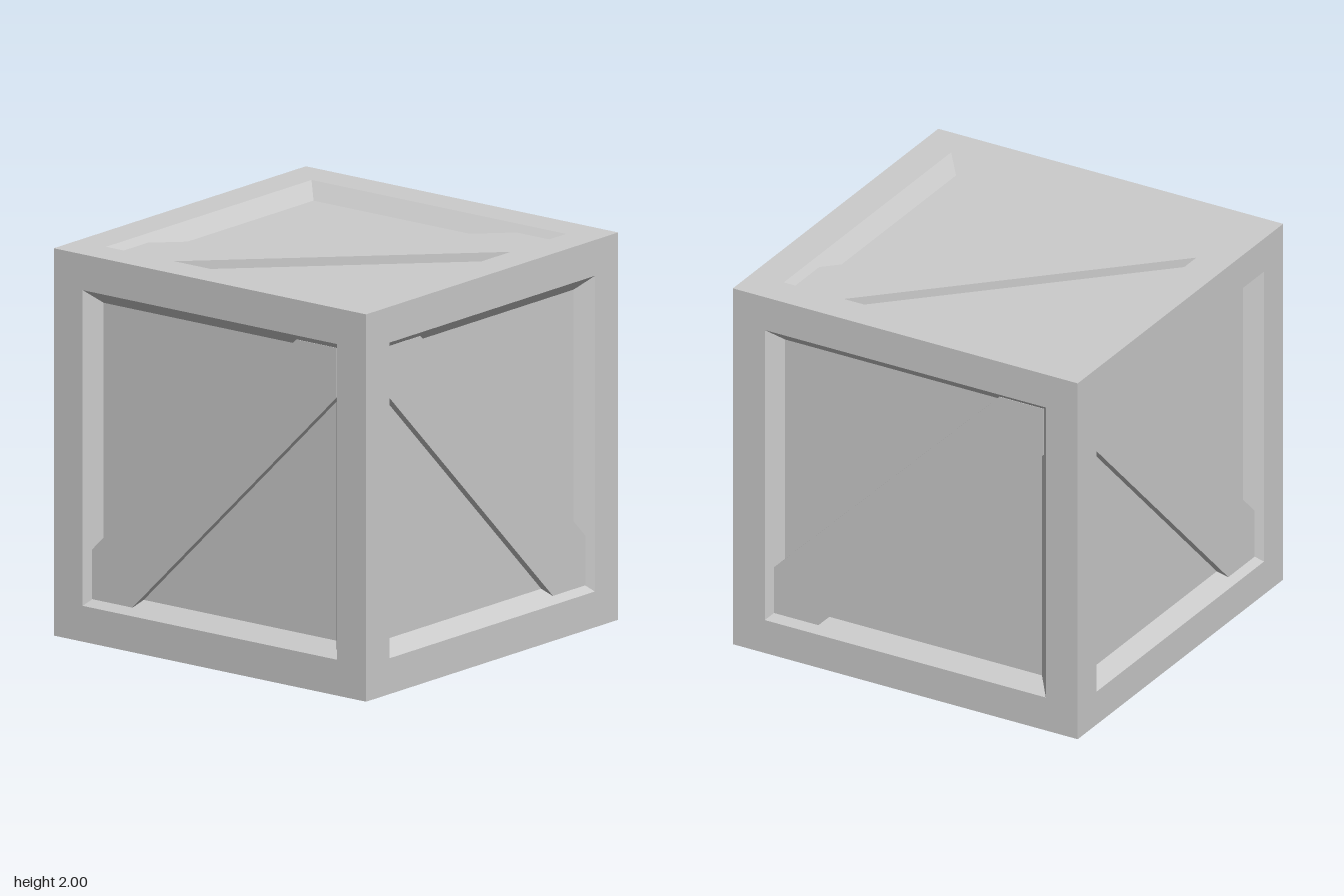
import * as THREE from 'three';

const material = new THREE.MeshStandardMaterial({ color: 0xcccccc, flatShading: true });

// Square frame, sloped inner walls and recessed board: a four-sided lathe facing +z
function panelGeometry() {
  const profile = [[1, 1], [0.815, 1], [0.745, 0.92], [0, 0.92]]
    .map(([r, h]) => new THREE.Vector2(r * Math.SQRT2, h));
  const g = new THREE.LatheGeometry(profile, 4, Math.PI / 4).toNonIndexed();
  g.rotateX(Math.PI / 2);
  g.computeVertexNormals();
  return g;
}

// Diagonal plank with corners trimmed to fit the frame
function plankGeometry() {
  const e = 0.782, c = 0.525;
  const shape = new THREE.Shape(
    [[-e, -e], [-c, -e], [e, c], [e, e], [c, e], [-e, -c]].map(([x, y]) => new THREE.Vector2(x, y))
  );
  const g = new THREE.ExtrudeGeometry(shape, { depth: 0.055, bevelEnabled: false });
  g.translate(0, 0, 0.91);
  return g;
}

export function createModel() {
  const crate = new THREE.Group();
  crate.name = 'crate';
  const panelGeo = panelGeometry();
  const plankGeo = plankGeometry();
  const q = Math.PI / 2;

  // name, turn about x, turn about y, turn of the plank within its side
  const sides = [
    ['front', 0, 0, 0], ['back', 0, 2 * q, 0],
    ['left', 0, q, q], ['right', 0, -q, q],
    ['top', -q, 0, 0], ['bottom', q, 0, 0],
  ];
  for (const [name, rx, ry, spin] of sides) {
    const side = new THREE.Group();
    side.name = name + 'Side';
    const panel = new THREE.Mesh(panelGeo, material);
    panel.name = name + 'FramedPanel';
    const plank = new THREE.Mesh(plankGeo, material);
    plank.name = name + 'DiagonalPlank';
    plank.rotation.z = spin;
    side.add(panel, plank);
    side.rotation.set(rx, ry, 0);
    side.position.y = 1;
    crate.add(side);
  }
  return crate;
}
